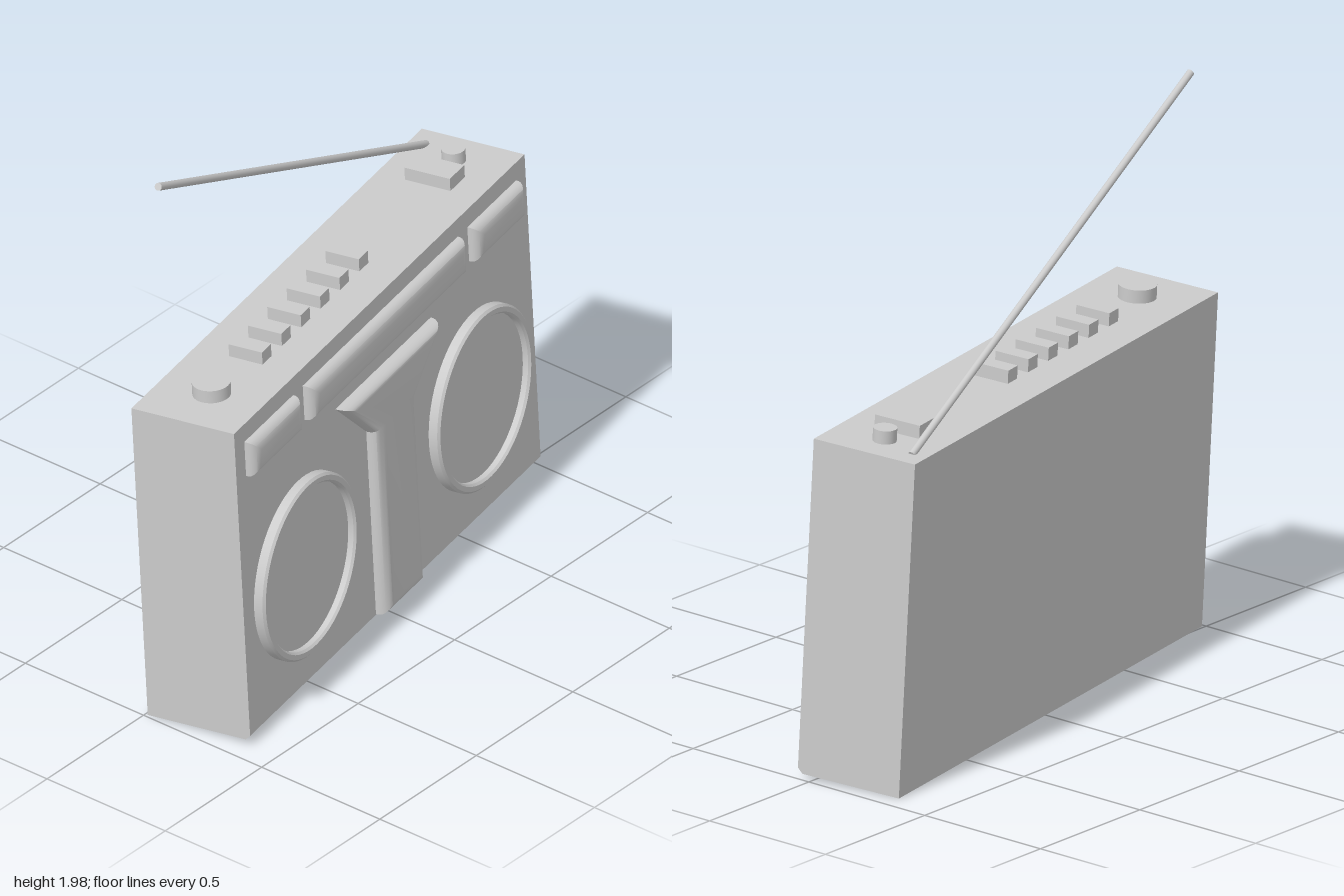
import * as THREE from 'three';
import { toCreasedNormals } from 'three/addons/utils/BufferGeometryUtils.js';

const W = 1.95, H = 1.175, D = 0.386, FRONT = D / 2;
const material = new THREE.MeshStandardMaterial({ color: 0xcccccc });

function add(parent, name, geometry, x = 0, y = 0, z = 0) {
  const mesh = new THREE.Mesh(geometry, material);
  mesh.name = name;
  mesh.position.set(x, y, z);
  parent.add(mesh);
  return mesh;
}

const outline = (points) => new THREE.Shape(points.map(([x, y]) => new THREE.Vector2(x, y)));

// Raised pad with a rounded rim; its back half is sunk in the case
function pad(points, height, rim) {
  const geometry = new THREE.ExtrudeGeometry(outline(points), {
    depth: 0.008, bevelThickness: height - 0.008, bevelSize: rim, bevelOffset: -rim, bevelSegments: 5,
  });
  return toCreasedNormals(geometry, 0.6);
}

const rect = (x0, x1, y0, y1) => [[x0, y0], [x1, y0], [x1, y1], [x0, y1]];

export function createModel() {
  const model = new THREE.Group();
  model.name = 'portableStereo';

  // The whole radio is turned sideways and leans back a little
  const radio = new THREE.Group();
  radio.name = 'radio';
  radio.rotation.set(-THREE.MathUtils.degToRad(3), THREE.MathUtils.degToRad(10), 0, 'YXZ');
  radio.position.set(0.004, 0.01, 0.03);
  model.add(radio);

  // Case: side profile with a small chamfer at the lower front edge
  const side = outline([[-FRONT, 0], [FRONT - 0.018, 0], [FRONT, 0.018], [FRONT, H], [-FRONT, H]]);
  const caseGeometry = new THREE.ExtrudeGeometry(side, { depth: W, bevelEnabled: false });
  caseGeometry.translate(0, 0, -W / 2).rotateY(-Math.PI / 2);
  add(radio, 'case', caseGeometry);

  // Speakers: raised ring around a recessed disc
  const ring = [[0.32, 0], [0.32, 0.032], [0.312, 0.04], [0.295, 0.04], [0.288, 0.032], [0.288, 0.012], [0, 0.012]];
  const speaker = toCreasedNormals(
    new THREE.LatheGeometry(ring.map(([r, y]) => new THREE.Vector2(r, y)), 64), 0.6);
  for (const s of [-1, 1]) {
    add(radio, s < 0 ? 'rightSpeaker' : 'leftSpeaker', speaker, s * 0.586, 0.46, FRONT).rotation.x = Math.PI / 2;
  }

  // Centre column with a flared head
  add(radio, 'centreColumn', pad([
    [-0.13, 0.02], [0.13, 0.02], [0.13, 0.72], [0.32, 0.91], [-0.32, 0.91], [-0.13, 0.72],
  ], 0.05, 0.045), 0, 0, FRONT);

  // Upper display strips
  add(radio, 'tunerStrip', pad(rect(-0.52, 0.52, 0.98, 1.11), 0.042, 0.04), 0, 0, FRONT);
  add(radio, 'rightStrip', pad(rect(-0.912, -0.585, 0.98, 1.11), 0.042, 0.04), 0, 0, FRONT);
  add(radio, 'leftStrip', pad(rect(0.585, 0.912, 0.98, 1.11), 0.042, 0.04), 0, 0, FRONT);

  // Top controls
  const rise = 0.046, controlY = H + rise / 2;
  add(radio, 'largeKnob', new THREE.CylinderGeometry(0.064, 0.064, rise, 32), -0.78, controlY, 0);
  add(radio, 'smallKnob', new THREE.CylinderGeometry(0.04, 0.04, rise, 32), 0.845, controlY, 0);
  add(radio, 'blockSwitch', new THREE.BoxGeometry(0.097, rise, 0.171), 0.718, controlY, 0);
  const button = new THREE.BoxGeometry(0.06, rise, 0.126);
  for (let i = 0; i < 6; i++) add(radio, 'button' + (i + 1), button, -0.521 + i * 0.13, controlY, 0);

  // Antenna leaning across the top
  const base = new THREE.Vector3(0.9, H - 0.003, -0.136), tip = new THREE.Vector3(-0.847, 1.972, -0.122);
  const reach = tip.clone().sub(base);
  const antenna = add(radio, 'antenna', new THREE.CylinderGeometry(0.013, 0.013, reach.length(), 16));
  antenna.position.copy(base).addScaledVector(reach, 0.5);
  antenna.quaternion.setFromUnitVectors(new THREE.Vector3(0, 1, 0), reach.normalize());

  return model;
}
